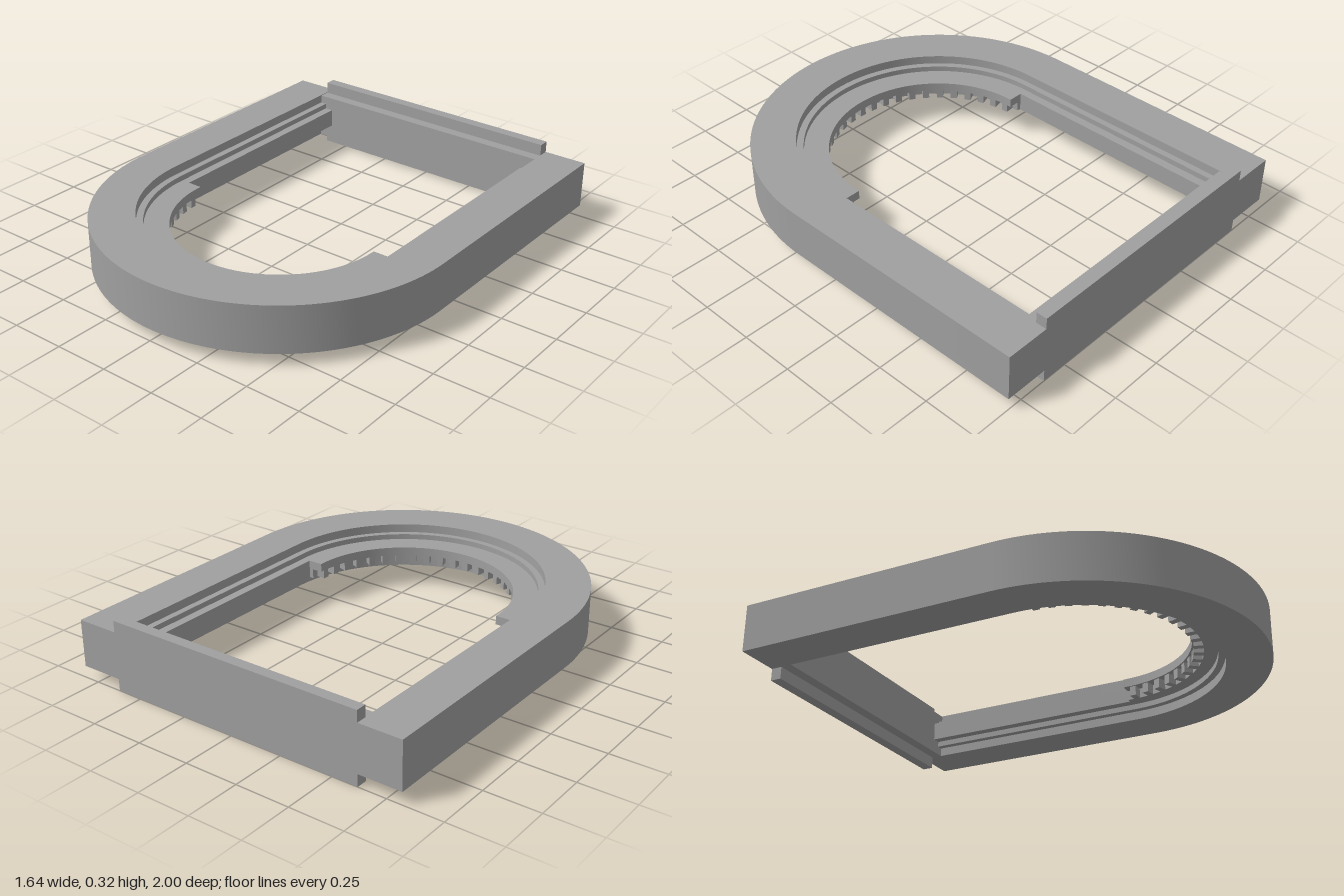
import * as THREE from 'three';
import { toCreasedNormals } from 'three/addons/utils/BufferGeometryUtils.js';

const ARC_Z = 0.18; // centre of the rounded end

export function createModel() {
  const stone = new THREE.MeshStandardMaterial({ color: 0xa0a0a0 });
  const group = new THREE.Group();

  function add(geometry, name) {
    const mesh = new THREE.Mesh(geometry, stone);
    mesh.name = name;
    group.add(mesh);
    return mesh;
  }

  // U-shaped band between two radii, with straight legs running back to backZ
  function band(name, rOut, rIn, y0, y1, backZ) {
    const s = new THREE.Shape();
    s.moveTo(rIn, -backZ);
    s.lineTo(rIn, -ARC_Z);
    s.absarc(0, -ARC_Z, rIn, 0, -Math.PI, true);
    s.lineTo(-rIn, -backZ);
    s.lineTo(-rOut, -backZ);
    s.lineTo(-rOut, -ARC_Z);
    s.absarc(0, -ARC_Z, rOut, -Math.PI, 0, false);
    s.lineTo(rOut, -backZ);
    s.closePath();
    const g = new THREE.ExtrudeGeometry(s, { depth: y1 - y0, bevelEnabled: false, curveSegments: 40 });
    g.rotateX(-Math.PI / 2);
    g.translate(0, y0, 0);
    return add(toCreasedNormals(g, 0.5), name);
  }

  function box(name, w, y0, y1, z0, z1) {
    const g = new THREE.BoxGeometry(w, y1 - y0, z1 - z0);
    g.translate(0, (y0 + y1) / 2, (z0 + z1) / 2);
    return add(g, name);
  }

  // Stepped frame, from the outside inwards
  band('outerFrame', 0.82, 0.62, 0.055, 0.27, -1);
  band('steppedMoulding', 0.62, 0.59, 0.095, 0.23, -0.9);
  band('innerRail', 0.59, 0.55, 0.12, 0.205, -0.9);

  // Tracery around the rounded end: thin flange over a recessed ring
  band('archFlange', 0.55, 0.48, 0.165, 0.205, 0.17);
  band('archRecess', 0.55, 0.53, 0.12, 0.165, 0.17);

  // Row of small blocks below the flange
  const count = 23;
  for (let i = 0; i < count; i++) {
    const a = (Math.PI * (i + 0.5)) / count;
    const tooth = add(new THREE.BoxGeometry(0.045, 0.045, 0.03), 'dentil');
    tooth.position.set(Math.cos(a) * 0.51, 0.1425, ARC_Z + Math.sin(a) * 0.51);
    tooth.rotation.y = -a;
  }

  // Straight sill closing the back
  box('sillPlate', 1.24, 0, 0.322, -1, -0.95);
  box('sillLedge', 1.24, 0.055, 0.268, -0.95, -0.9);

  return group;
}
